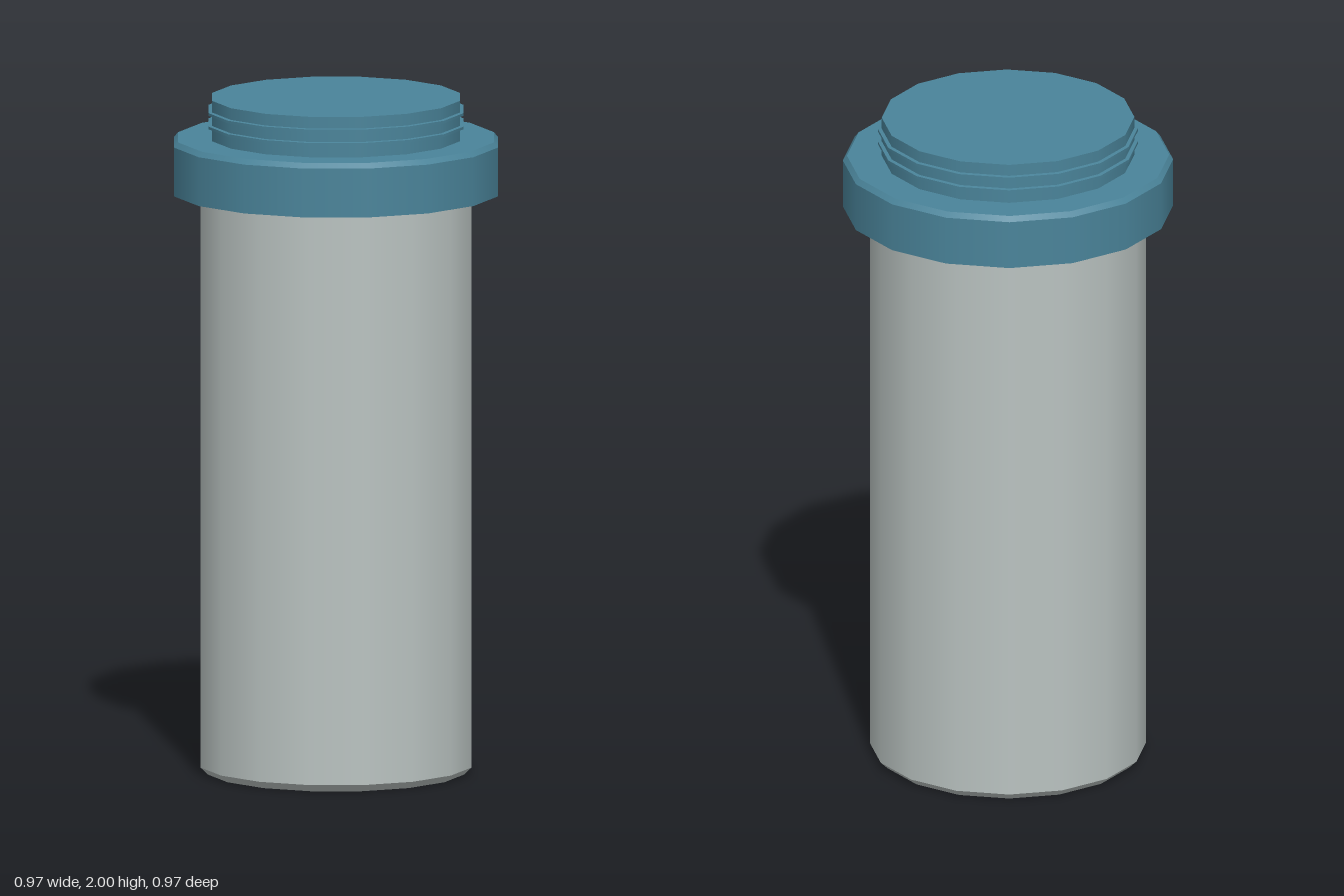
import * as THREE from 'three';
import { mergeGeometries } from 'three/addons/utils/BufferGeometryUtils.js';

const SIDES = 16;
const TURN = THREE.MathUtils.degToRad(3.65);

// Turned part: smooth around the axis, sharp at every corner of the profile
function turned(name, profile, material) {
  const bands = [];
  for (let i = 0; i < profile.length - 1; i++) {
    const pair = [profile[i], profile[i + 1]].map(([r, y]) => new THREE.Vector2(r, y));
    bands.push(new THREE.LatheGeometry(pair, SIDES, TURN));
  }
  const mesh = new THREE.Mesh(mergeGeometries(bands), material);
  mesh.name = name;
  return mesh;
}

export function createModel() {
  const grey = new THREE.MeshStandardMaterial({ color: 0xbac3c1 });
  grey.name = 'pale grey';
  const blue = new THREE.MeshStandardMaterial({ color: 0x4a849a });
  blue.name = 'teal blue';

  const model = new THREE.Group();
  model.name = 'canister';

  // Cylinder with a small chamfer at the foot
  model.add(turned('body', [[0, 0], [0.382, 0], [0.405, 0.022], [0.405, 1.73]], grey));

  // Wide collar with a chamfered top edge
  model.add(turned('collar',
    [[0, 1.72], [0.484, 1.72], [0.484, 1.865], [0.472, 1.88], [0, 1.88]], blue));

  // Neck with a flat closed top
  model.add(turned('neck', [[0.37, 1.87], [0.37, 2], [0, 2]], blue));

  // Thin thread ridges around the neck
  for (const y of [1.92, 1.96]) {
    model.add(turned('threadRidge',
      [[0.365, y - 0.006], [0.381, y - 0.004], [0.381, y + 0.004], [0.365, y + 0.006]], blue));
  }
  return model;
}
